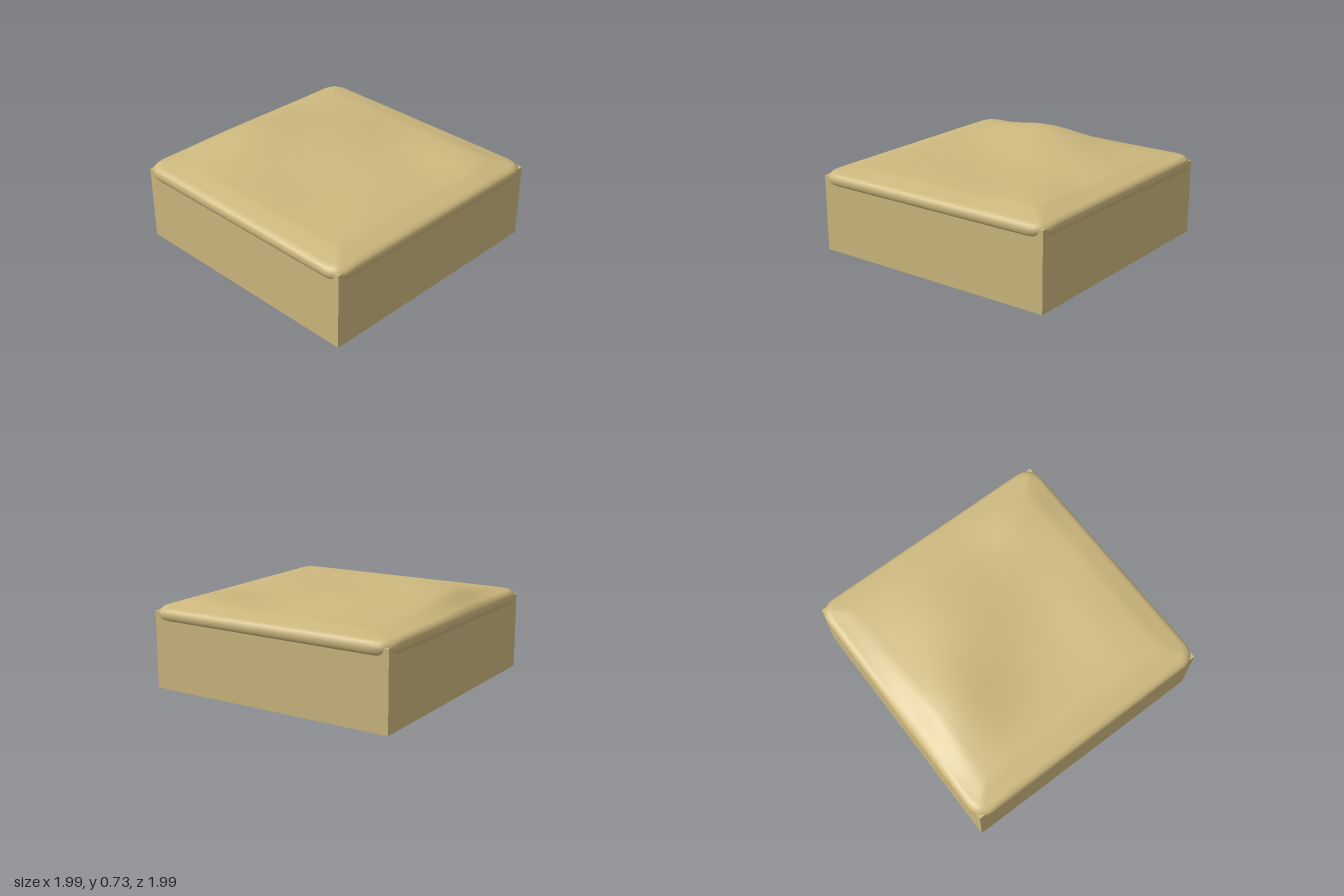
import * as THREE from 'three';

const SIDE = 48, LOOP = SIDE * 4;
const material = new THREE.MeshStandardMaterial({ color: 0xcdb87e, side: THREE.DoubleSide });

// Soft lumps on the cushion: x, z, height, spread x, spread z
const LUMPS = [
  [-0.25, -0.65, 0.085, 0.3, 0.26],
  [0.25, -0.28, 0.06, 0.34, 0.32],
  [0.66, 0.62, 0.03, 0.16, 0.22],
  [-0.3, 0.6, 0.02, 0.35, 0.2],
  [-0.75, -0.1, 0.012, 0.2, 0.35],
];

// Rim is slightly higher at the back
const rimLift = (z) => 0.008 * (1 - z);

function topHeight(x, z) {
  const edge = 1 - Math.max(Math.abs(x), Math.abs(z));
  const rise = THREE.MathUtils.smoothstep(edge, -0.04, 0.22);
  let lump = 0.035;
  for (const [cx, cz, h, sx, sz] of LUMPS) {
    lump += h * Math.exp(-(((x - cx) / sx) ** 2 + ((z - cz) / sz) ** 2) / 2);
  }
  return 0.598 + rimLift(z) + (lump - rimLift(z)) * rise;
}

// Point k of a rounded square with the given half width and corner radius
function loopPoint(k, half, radius) {
  const t = ((k % SIDE) / SIDE) * 2 - 1;
  let [x, z] = [half, half * t];
  for (let s = Math.floor(k / SIDE); s > 0; s--) [x, z] = [-z, x];
  const inner = half - radius;
  const cx = THREE.MathUtils.clamp(x, -inner, inner);
  const cz = THREE.MathUtils.clamp(z, -inner, inner);
  const d = Math.hypot(x - cx, z - cz) || 1;
  return [cx + ((x - cx) / d) * radius, cz + ((z - cz) / d) * radius];
}

function cushionGeometry() {
  // Under-lip and rounded side: half width, height
  const lip = [[0.93, 0.508], [0.97, 0.513], [0.985, 0.523], [0.994, 0.54], [0.996, 0.56], [0.993, 0.58], [0.982, 0.592]];
  const positions = [], indices = [];
  for (const [half, y] of lip) {
    for (let k = 0; k < LOOP; k++) {
      const [x, z] = loopPoint(k, half, 0.125);
      positions.push(x, y + rimLift(z) * (y - 0.5) * 8, z);
    }
  }
  // Lumpy top, closing in to the middle
  const topRings = 36;
  for (let j = 0; j <= topRings; j++) {
    const half = 0.965 * (1 - j / topRings) + 0.0005;
    for (let k = 0; k < LOOP; k++) {
      const [x, z] = loopPoint(k, half, 0.125 * half);
      positions.push(x, topHeight(x, z), z);
    }
  }
  const rings = lip.length + topRings + 1;
  for (let j = 0; j < rings - 1; j++) {
    for (let k = 0; k < LOOP; k++) {
      const a = j * LOOP + k, b = j * LOOP + ((k + 1) % LOOP);
      indices.push(a, a + LOOP, b, b, a + LOOP, b + LOOP);
    }
  }
  const geometry = new THREE.BufferGeometry();
  geometry.setAttribute('position', new THREE.Float32BufferAttribute(positions, 3));
  geometry.setIndex(indices);
  geometry.computeVertexNormals();
  return geometry;
}

export function createModel() {
  const group = new THREE.Group();
  group.name = 'ottoman';

  // Square block
  const base = new THREE.Mesh(new THREE.BoxGeometry(1.952, 0.578, 1.952), material);
  base.name = 'base';
  base.position.y = 0.289;
  group.add(base);

  // Soft overhanging top
  const cushion = new THREE.Mesh(cushionGeometry(), material);
  cushion.name = 'cushion';
  group.add(cushion);

  return group;
}
